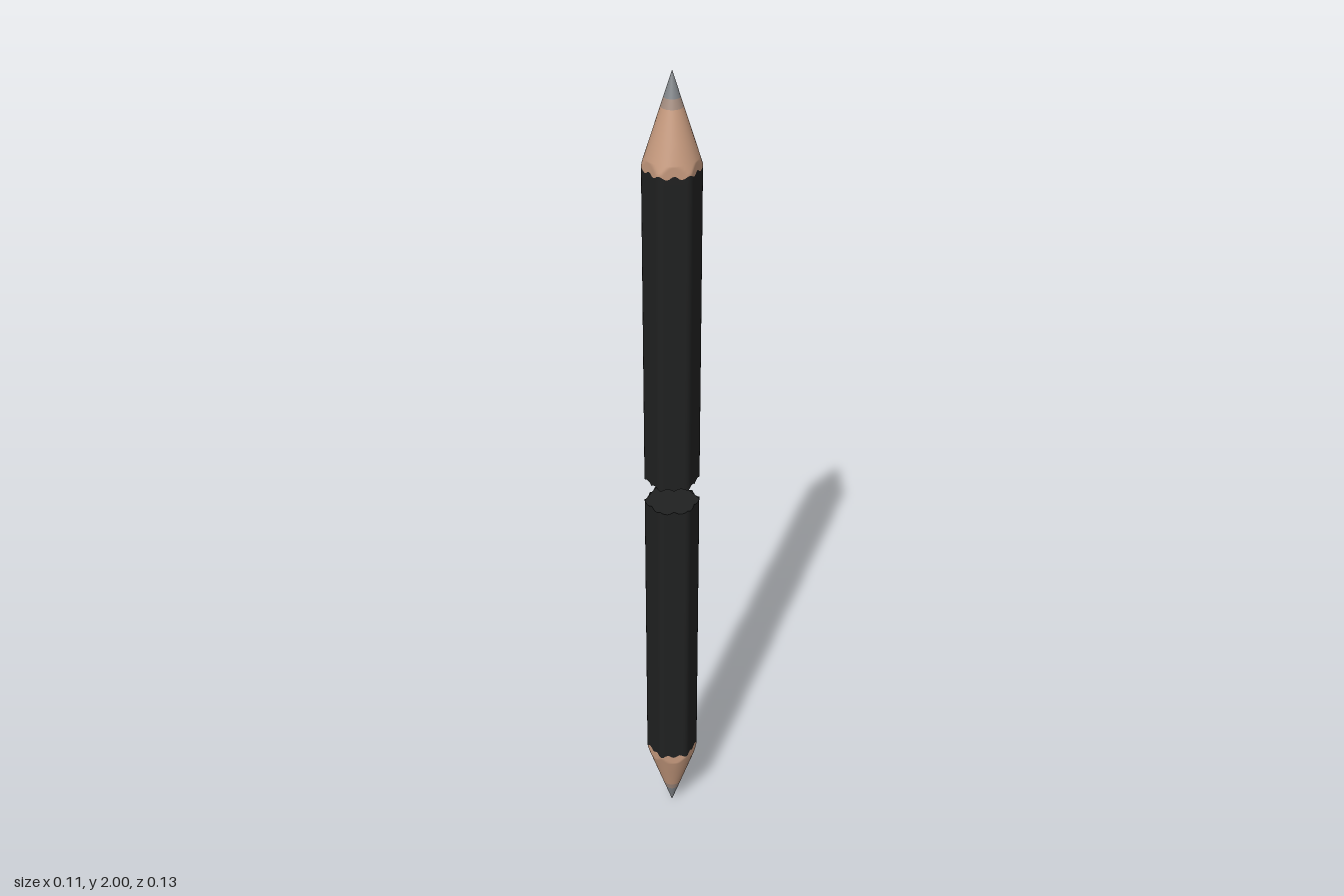
import * as THREE from 'three';

const SIDES = 72;
const FLAT = 0.057;    // centre to flat side
const CORNER = 0.0635; // centre to rounded corner

const mat = (name, color, side = THREE.FrontSide) => {
  const m = new THREE.MeshStandardMaterial({ color, side });
  m.name = name;
  return m;
};

// Rounded hexagon with corners on +z and -z, ground down by the sharpening cone
function radius(angle, y) {
  const sector = Math.PI / 3;
  const local = ((angle + sector / 2) % sector) - sector / 2;
  const hex = Math.min(FLAT / Math.cos(local), CORNER);
  return Math.min(hex, CORNER * (1 - y) / 0.2);
}

// Skin through rings; each ring is a height, or a height as a function of angle
function loft(rings) {
  const pos = [], index = [];
  rings.forEach((ring, j) => {
    for (let i = 0; i < SIDES; i++) {
      const a = (i / SIDES) * Math.PI * 2;
      const y = typeof ring === 'function' ? ring(a) : ring;
      const r = radius(a, y);
      pos.push(Math.cos(a) * r, y, -Math.sin(a) * r);
      if (j === 0) continue;
      const k = (i + 1) % SIDES, lo = (j - 1) * SIDES, hi = j * SIDES;
      index.push(lo + i, lo + k, hi + k, lo + i, hi + k, hi + i);
    }
  });
  const g = new THREE.BufferGeometry();
  g.setAttribute('position', new THREE.Float32BufferAttribute(pos, 3));
  g.setIndex(index);
  g.computeVertexNormals();
  return g;
}

// Flat inner end closing the barrel
function endCap(y) {
  const shape = new THREE.Shape();
  for (let i = 0; i < SIDES; i++) {
    const a = (i / SIDES) * Math.PI * 2, r = radius(a, y);
    if (i) shape.lineTo(Math.cos(a) * r, Math.sin(a) * r);
    else shape.moveTo(r, 0);
  }
  return new THREE.ShapeGeometry(shape).rotateX(Math.PI / 2).translate(0, y, 0);
}

export function createModel() {
  const black = mat('black paint', 0x202121, THREE.DoubleSide);
  const wood = mat('bare wood', 0xc69a7e);
  const blend = mat('dusty wood', 0xa48d80);
  const lead = mat('graphite', 0x82868a);

  const jagged = a => 0.028 + 0.007 * Math.abs(Math.sin(6 * a));
  const scallop = a => 0.794 + 0.004 * Math.cos(12 * a);

  const parts = [
    ['barrel', loft([jagged, 0.04, 0.78, scallop]), black],
    ['barrelEnd', endCap(0.036), black],
    ['sharpenedWood', loft([scallop, 0.8, 0.804, 0.808, 0.812, 0.816, 0.82, 0.86, 0.925]), wood],
    ['woodToLead', loft([0.925, 0.945]), blend],
    ['leadTip', loft([0.945, 0.97, 0.99, 1]), lead],
  ];

  const model = new THREE.Group();
  model.name = 'pencilPair';
  for (const [name, turn] of [['upperPencil', 0], ['lowerPencil', Math.PI]]) {
    const half = new THREE.Group();
    half.name = name;
    for (const [part, geometry, material] of parts) {
      const mesh = new THREE.Mesh(geometry, material);
      mesh.name = part;
      half.add(mesh);
    }
    half.position.y = 1;
    half.rotation.z = turn;
    model.add(half);
  }
  return model;
}
